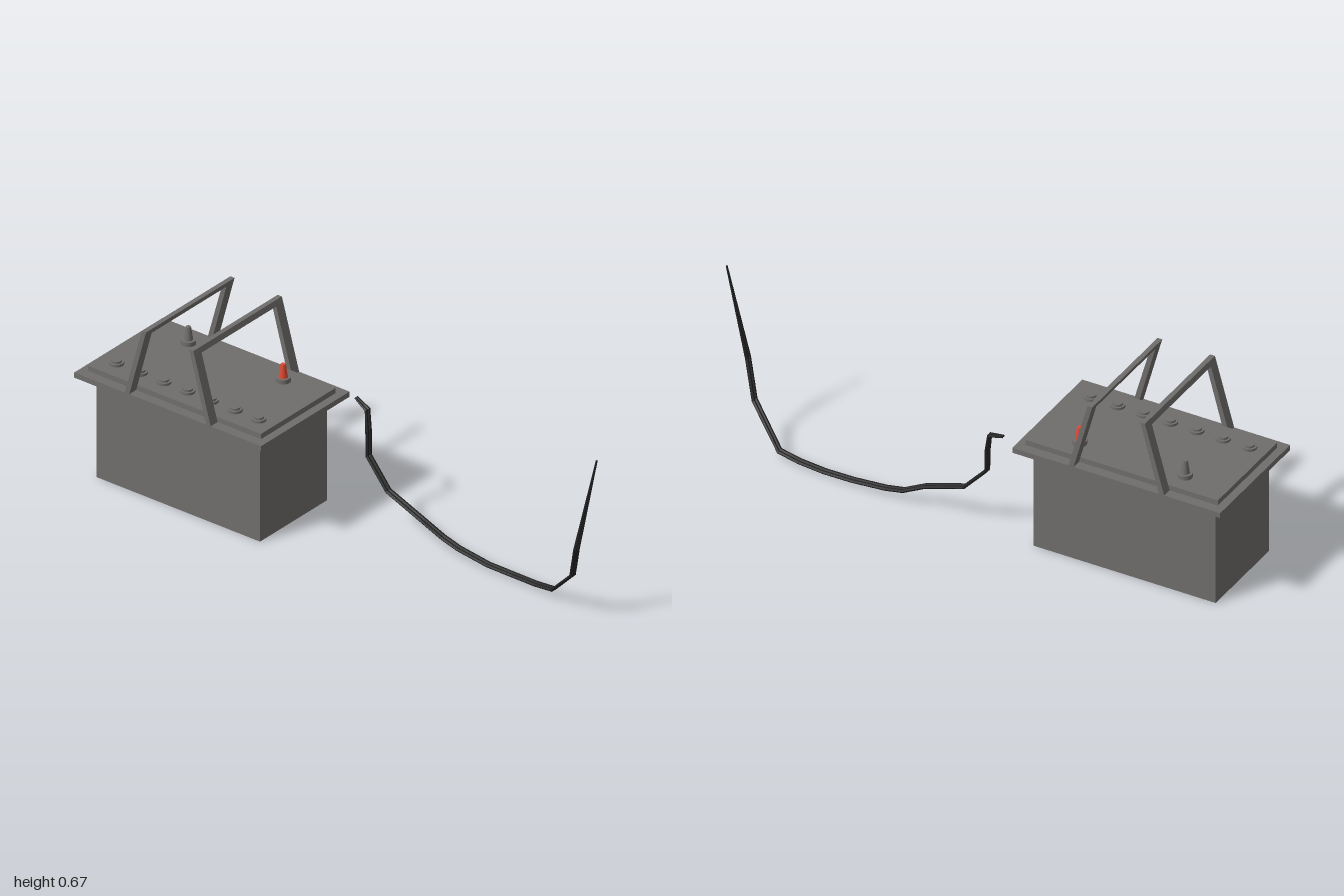
import * as THREE from 'three';

const material = (color, extra = {}) => new THREE.MeshStandardMaterial({ color, ...extra });
const grey = material(0x706e6c);
const red = material(0xdc4a34);
const black = material(0x222222, { flatShading: true });

function add(parent, name, geometry, mat, x = 0, y = 0, z = 0) {
  const mesh = new THREE.Mesh(geometry, mat);
  mesh.name = name;
  mesh.position.set(x, y, z);
  parent.add(mesh);
  return mesh;
}

// Box standing on height y0
function slab(parent, name, w, y0, y1, d) {
  return add(parent, name, new THREE.BoxGeometry(w, y1 - y0, d), grey, 0, (y0 + y1) / 2, 0);
}

// Cylinder or cone standing on height y0
function disc(parent, name, r0, r1, y0, y1, x, z, mat = grey) {
  return add(parent, name, new THREE.CylinderGeometry(r1, r0, y1 - y0, 20), mat, x, (y0 + y1) / 2, z);
}

// Slanted carrying handle: two legs outside the lid and a top bar; side is -1 or 1
function handle(side) {
  const group = new THREE.Group();
  group.name = side < 0 ? 'rightHandle' : 'leftHandle';
  const prism = (points, depth) => {
    const shape = new THREE.Shape(points.map(([x, y]) => new THREE.Vector2(side * x, y)));
    return new THREE.ExtrudeGeometry(shape, { depth, bevelEnabled: false });
  };
  const leg = [[0.187, 0.4], [0.167, 0.4], [0.098, 0.653], [0.116, 0.653]];
  const bar = [[0.116, 0.653], [0.098, 0.653], [0.092, 0.673], [0.11, 0.673]];
  add(group, 'frontLeg', prism(leg, 0.037), grey, 0, 0, 0.2);
  add(group, 'backLeg', prism(leg, 0.037), grey, 0, 0, -0.237);
  add(group, 'topBar', prism(bar, 0.474), grey, 0, 0, -0.237);
  return group;
}

// Six-sided wire swept along straight runs: each point is x, y, z, thickness
function wire(path, offset, radius, sides = 6) {
  const centres = path.map(([x, y, z, s]) => new THREE.Vector3(x, y, z + offset * s));
  const positions = [], index = [];
  const n = centres.length;
  centres.forEach((c, i) => {
    const before = c.clone().sub(centres[Math.max(i - 1, 0)]).normalize();
    const after = centres[Math.min(i + 1, n - 1)].clone().sub(c).normalize();
    const tangent = before.add(after).normalize();
    const u = new THREE.Vector3(0, 0, 1).addScaledVector(tangent, -tangent.z).normalize();
    const v = tangent.clone().cross(u);
    for (let k = 0; k < sides; k++) {
      const a = (k / sides) * Math.PI * 2, r = radius * path[i][3];
      const p = c.clone().addScaledVector(u, r * Math.cos(a)).addScaledVector(v, r * Math.sin(a));
      positions.push(p.x, p.y, p.z);
      if (i < n - 1) {
        const k2 = (k + 1) % sides, p0 = i * sides, p1 = p0 + sides;
        index.push(p0 + k, p0 + k2, p1 + k, p0 + k2, p1 + k2, p1 + k);
      }
    }
  });
  // End caps
  const last = (n - 1) * sides;
  for (let k = 1; k < sides - 1; k++) {
    index.push(0, k + 1, k, last, last + k, last + k + 1);
  }
  const geometry = new THREE.BufferGeometry();
  geometry.setAttribute('position', new THREE.Float32BufferAttribute(positions, 3));
  geometry.setIndex(index);
  geometry.computeVertexNormals();
  return geometry;
}

export function createModel() {
  const model = new THREE.Group();
  model.name = 'batteryWithCable';

  const battery = new THREE.Group();
  battery.name = 'battery';
  battery.position.x = -0.6;
  model.add(battery);

  // Case and stepped lid
  slab(battery, 'case', 0.7, 0, 0.39, 0.36);
  slab(battery, 'lidRim', 0.8, 0.39, 0.41, 0.474);
  slab(battery, 'lidTop', 0.74, 0.41, 0.43, 0.4);

  // Row of filler caps
  for (let i = -3; i <= 3; i++) {
    const x = i * 0.1015;
    disc(battery, 'capBase', 0.026, 0.026, 0.43, 0.439, x, 0.13);
    disc(battery, 'capTop', 0.018, 0.018, 0.439, 0.446, x, 0.13);
  }

  // Terminals
  for (const [name, x, mat] of [['greyTerminal', -0.203, grey], ['redTerminal', 0.203, red]]) {
    disc(battery, name + 'Base', 0.026, 0.026, 0.43, 0.446, x, -0.128);
    disc(battery, name, 0.016, 0.009, 0.446, 0.495, x, -0.128, mat);
  }

  battery.add(handle(-1), handle(1));

  // Loose twin-wire cable, thin at its far end
  const path = [
    [-0.147, 0.42, -0.206, 0.6], [-0.088, 0.4, -0.193, 0.9], [-0.073, 0.33, -0.18, 1],
    [-0.067, 0.24, -0.173, 1], [0.024, 0.14, -0.165, 1], [0.18, 0.085, -0.157, 1],
    [0.26, 0.046, -0.163, 1], [0.33, 0.03, -0.159, 1], [0.46, 0.016, -0.154, 1],
    [0.57, 0.015, -0.154, 1], [0.67, 0.019, -0.148, 1], [0.75, 0.03, -0.141, 1],
    [0.88, 0.157, -0.081, 1], [0.928, 0.29, -0.042, 1], [0.998, 0.647, -0.063, 0.3],
  ];
  const cable = new THREE.Group();
  cable.name = 'cable';
  add(cable, 'frontWire', wire(path, 0.0075, 0.0065), black);
  add(cable, 'backWire', wire(path, -0.0075, 0.0065), black);
  model.add(cable);

  return model;
}
